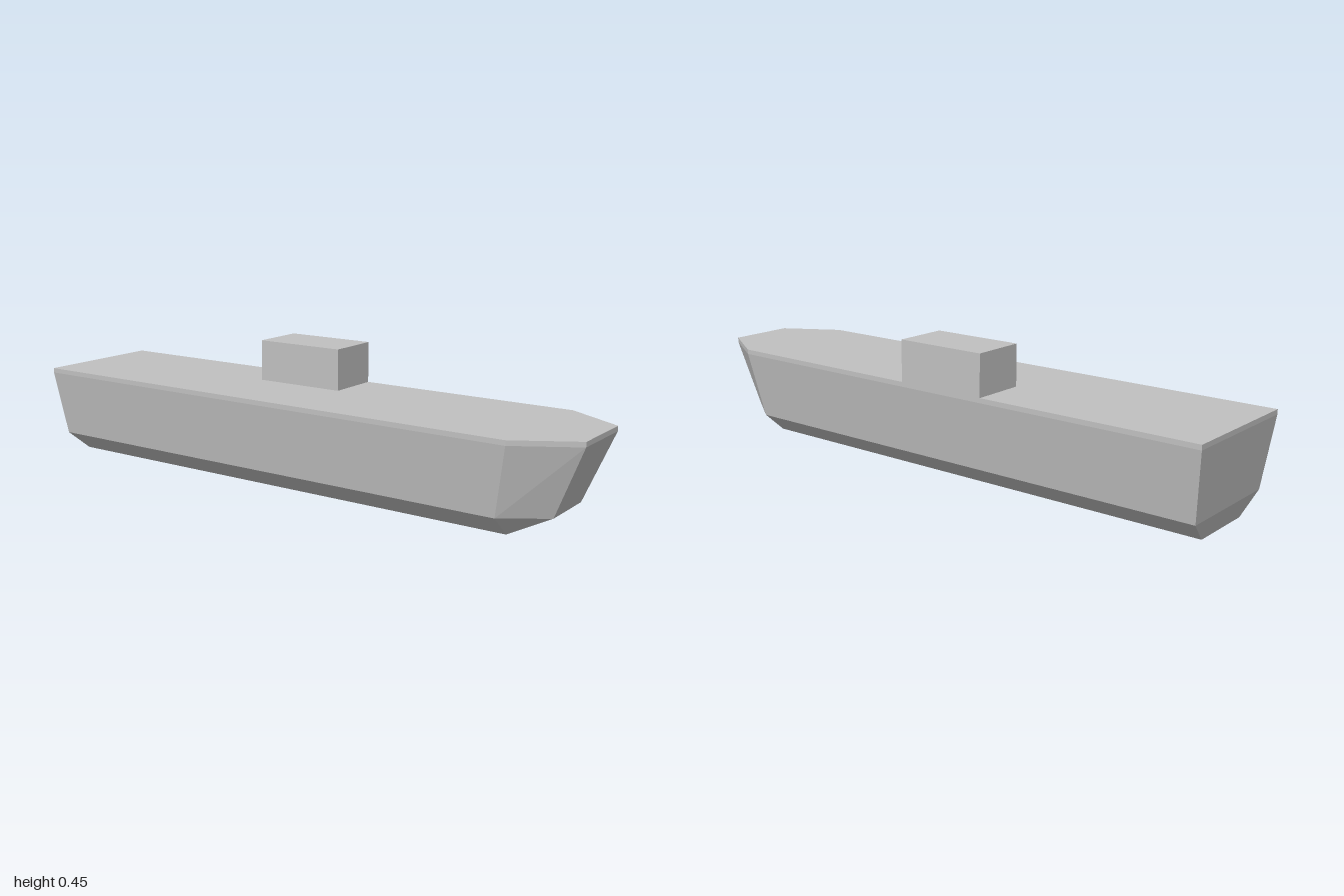
import * as THREE from 'three';

const hullGrey = new THREE.MeshStandardMaterial({ color: 0xc0c0c0 });
hullGrey.name = 'hullGrey';

// Hull outline at each level: height, stern x, shoulder x, bow x, half width, bow half width
const levels = [
  [0, -0.955, 0.77, 0.77, 0.114, 0.114],
  [0.07, -0.975, 0.77, 0.907, 0.193, 0.097],
  [0.297, -1, 0.812, 1, 0.228, 0.115],
  [0.313, -1, 0.812, 1, 0.228, 0.115],
];

function createHull() {
  const rings = levels.map(([y, stern, shoulder, bow, w, wb]) => [
    [stern, y, w], [shoulder, y, w], [bow, y, wb],
    [bow, y, -wb], [shoulder, y, -w], [stern, y, -w],
  ]);
  const positions = [];
  const triangle = (a, b, c) => {
    const [p, q, r] = [a, b, c].map((v) => new THREE.Vector3(...v));
    const area = q.sub(p).cross(r.sub(p)).length();
    if (area > 1e-8) positions.push(...a, ...b, ...c);
  };
  // Side panels between neighbouring levels
  for (let l = 0; l < rings.length - 1; l++) {
    for (let i = 0; i < 6; i++) {
      const j = (i + 1) % 6;
      triangle(rings[l][i], rings[l][j], rings[l + 1][j]);
      triangle(rings[l][i], rings[l + 1][j], rings[l + 1][i]);
    }
  }
  // Deck and flat bottom
  const deck = rings[rings.length - 1];
  const keel = rings[0];
  for (let i = 1; i < 5; i++) {
    triangle(deck[0], deck[i], deck[i + 1]);
    triangle(keel[0], keel[i + 1], keel[i]);
  }
  const geometry = new THREE.BufferGeometry();
  geometry.setAttribute('position', new THREE.Float32BufferAttribute(positions, 3));
  geometry.computeVertexNormals();
  const hull = new THREE.Mesh(geometry, hullGrey);
  hull.name = 'hull';
  return hull;
}

export function createModel() {
  const ship = new THREE.Group();
  ship.name = 'ship';
  ship.add(createHull());

  // Island tower, flush with the edge of the deck
  const tower = new THREE.Mesh(new THREE.BoxGeometry(0.317, 0.138, 0.183), hullGrey);
  tower.name = 'islandTower';
  tower.position.set(-0.0935, 0.382, -0.1365);
  ship.add(tower);
  return ship;
}
